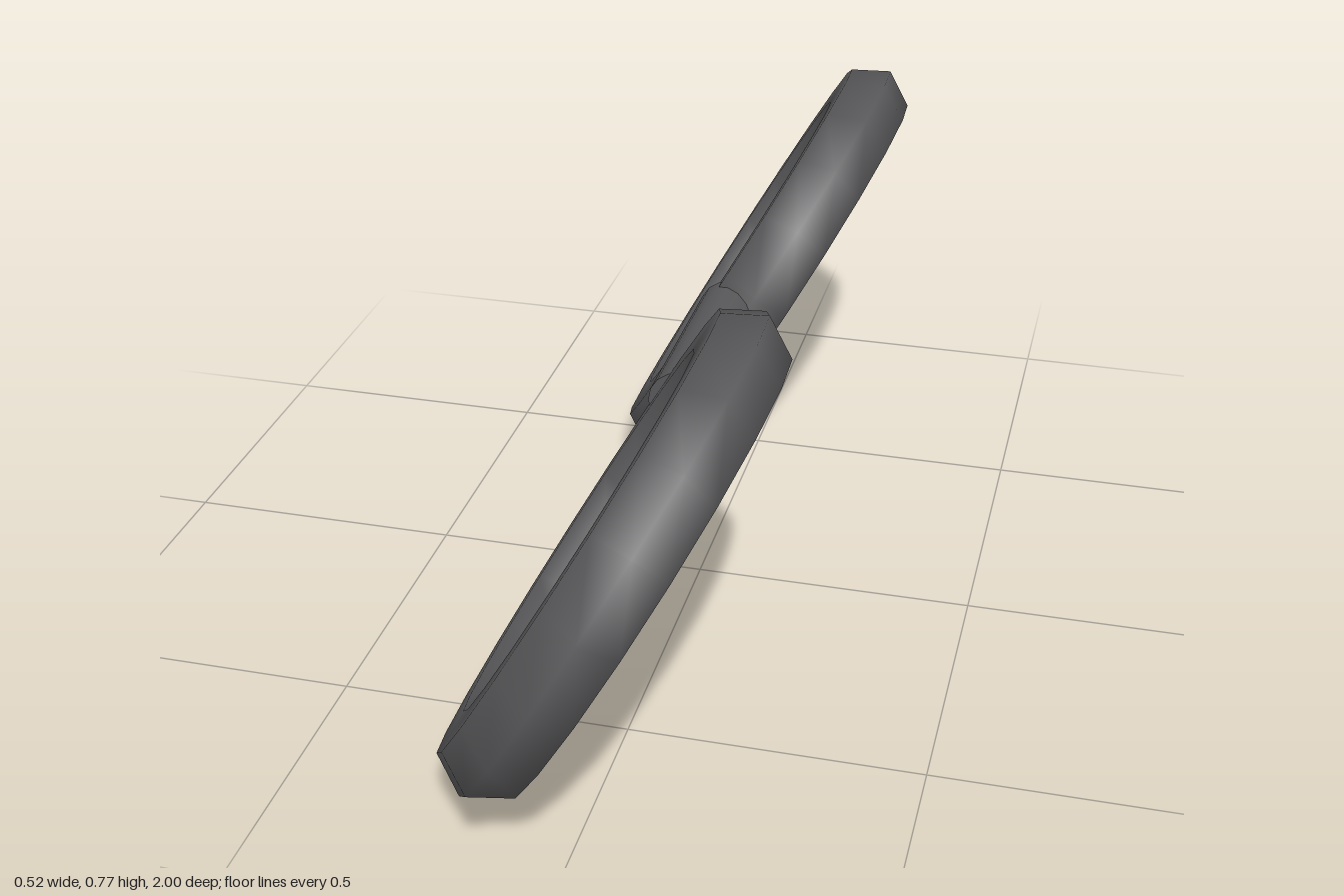
import * as THREE from 'three';

export function createModel() {
  const model = new THREE.Group();
  model.name = 'linkedRings';
  const darkGrey = new THREE.MeshStandardMaterial({ color: 0x58585a });
  darkGrey.name = 'darkGrey';

  // Two hexagonal-section rings, side by side along z and leaning 30 degrees
  const ringGeometry = new THREE.TorusGeometry(0.37, 0.075, 6, 20);
  ringGeometry.rotateY(Math.PI / 2); // axis along x
  ringGeometry.rotateZ(-Math.PI / 6); // top leans towards +x
  for (const side of [1, -1]) {
    const ring = new THREE.Mesh(ringGeometry, darkGrey);
    ring.name = side > 0 ? 'frontRing' : 'backRing';
    ring.position.set(0, 0.385, side * 0.555);
    model.add(ring);
  }

  // Round bar joining the rings, its ends sunk into them
  const barGeometry = new THREE.CylinderGeometry(0.057, 0.057, 0.37, 16);
  barGeometry.rotateX(Math.PI / 2);
  const bar = new THREE.Mesh(barGeometry, darkGrey);
  bar.name = 'bridgeBar';
  bar.position.set(0.012, 0.452, 0);
  model.add(bar);

  return model;
}
